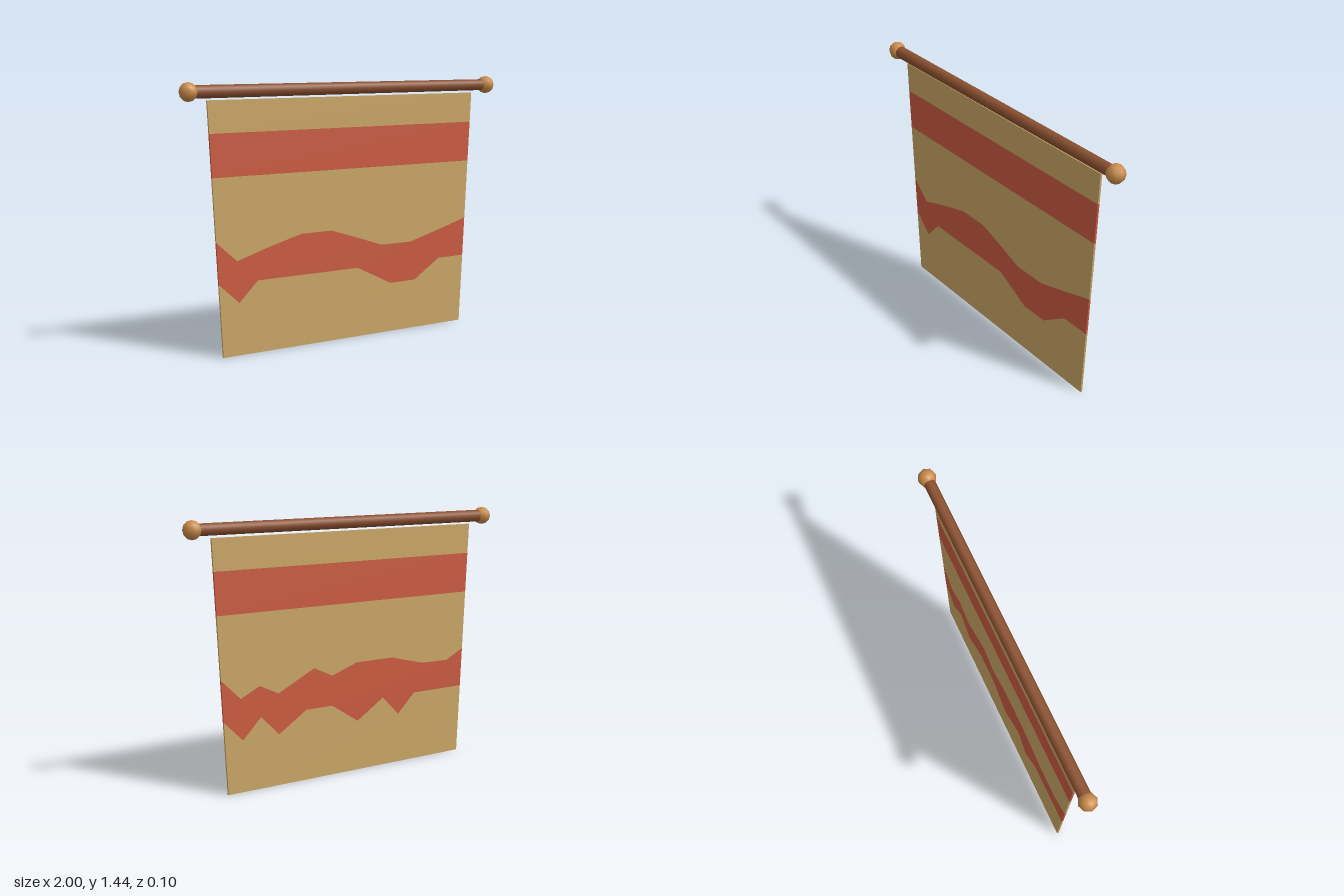
import * as THREE from 'three';

const H = 1.343, Z_FRONT = 0.0015, Z_BACK = -0.0095;
const halfWidth = (y) => 0.777 + (0.07 * y) / H;

const mat = (name, color) => new THREE.MeshStandardMaterial({ name, color });

// straight edge of the cloth at height y, from right (-x) to left (+x)
const level = (y) => [[-halfWidth(y), y], [halfWidth(y), y]];

// wavy edge: inner points, closed off at both cloth sides at height y
const wave = (y, inner) => [[-halfWidth(y), y], ...inner, [halfWidth(y), y]];

// the two red wave borders differ on the two faces of the cloth
const frontWave = {
  top: wave(0.612, [[-0.69, 0.505], [-0.51, 0.56], [-0.3, 0.615], [-0.11, 0.615], [0.06, 0.56],
    [0.22, 0.505], [0.42, 0.505], [0.62, 0.558]]),
  bottom: wave(0.39, [[-0.68, 0.282], [-0.57, 0.39], [0.06, 0.39], [0.28, 0.28], [0.45, 0.28], [0.62, 0.39]]),
};
const backWave = {
  top: wave(0.612, [[-0.69, 0.555], [-0.51, 0.558], [-0.29, 0.613], [-0.045, 0.613], [0.12, 0.558],
    [0.238, 0.613], [0.465, 0.503], [0.58, 0.558], [0.695, 0.503]]),
  bottom: wave(0.39, [[-0.45, 0.39], [-0.335, 0.28], [-0.226, 0.39], [-0.05, 0.28], [0.12, 0.39],
    [0.29, 0.39], [0.463, 0.28], [0.574, 0.39], [0.685, 0.28]]),
};

// flat panel between a lower and an upper edge
function panel(lower, upper, back) {
  const s = back ? -1 : 1;
  const pts = [...lower, ...[...upper].reverse()].map(([x, y]) => new THREE.Vector2(s * x, y));
  const geo = new THREE.ShapeGeometry(new THREE.Shape(pts));
  if (back) geo.rotateY(Math.PI);
  return geo.translate(0, 0, back ? Z_BACK : Z_FRONT);
}

// thin rim strip across the cloth thickness, from point a to point b
function rim([ax, ay], [bx, by]) {
  const geo = new THREE.PlaneGeometry(1, 1);
  const p = geo.attributes.position;
  [[ax, ay, Z_FRONT], [bx, by, Z_FRONT], [ax, ay, Z_BACK], [bx, by, Z_BACK]]
    .forEach((v, i) => p.setXYZ(i, ...v));
  geo.computeVertexNormals();
  return geo;
}

export function createModel() {
  const model = new THREE.Group();
  model.name = 'hangingBanner';
  const tan = mat('tanCloth', 0xc9a566);
  const red = mat('redCloth', 0xca5b41);
  const wood = mat('darkWood', 0x8a5030);
  const knobWood = mat('lightWood', 0xc88a4a);
  const add = (name, geo, material, parent = model) => {
    const mesh = new THREE.Mesh(geo, material);
    mesh.name = name;
    parent.add(mesh);
    return mesh;
  };

  // cloth: five colour bands on each face, with matching side rims
  const cloth = new THREE.Group();
  cloth.name = 'cloth';
  model.add(cloth);
  const names = ['lowerCloth', 'waveStripe', 'middleCloth', 'straightStripe', 'upperCloth'];
  for (const back of [false, true]) {
    const w = back ? backWave : frontWave;
    const edges = [level(0), w.bottom, w.top, level(0.948), level(1.174), level(H)];
    names.forEach((name, i) => {
      add(name + (back ? 'Back' : 'Front'), panel(edges[i], edges[i + 1], back), i % 2 ? red : tan, cloth);
    });
  }
  const heights = [0, 0.39, 0.612, 0.948, 1.174, H];
  names.forEach((name, i) => {
    const [r0, l0] = level(heights[i]), [r1, l1] = level(heights[i + 1]);
    add(name + 'LeftRim', rim(l0, l1), i % 2 ? red : tan, cloth);
    add(name + 'RightRim', rim(r1, r0), i % 2 ? red : tan, cloth);
  });
  add('bottomRim', rim(...level(0)), tan, cloth);
  add('topRim', rim(...level(H).reverse()), tan, cloth);

  // rod, very slightly tapered, with a knob at each end
  const rod = add('rod', new THREE.CylinderGeometry(0.034, 0.0315, 1.89, 12), wood);
  rod.rotation.z = Math.PI / 2;
  rod.position.y = 1.387;
  for (const side of [-1, 1]) {
    const knob = add(side > 0 ? 'leftKnob' : 'rightKnob', new THREE.SphereGeometry(0.05, 8, 6), knobWood);
    knob.position.set(side * 0.95, 1.387, 0);
  }
  return model;
}
